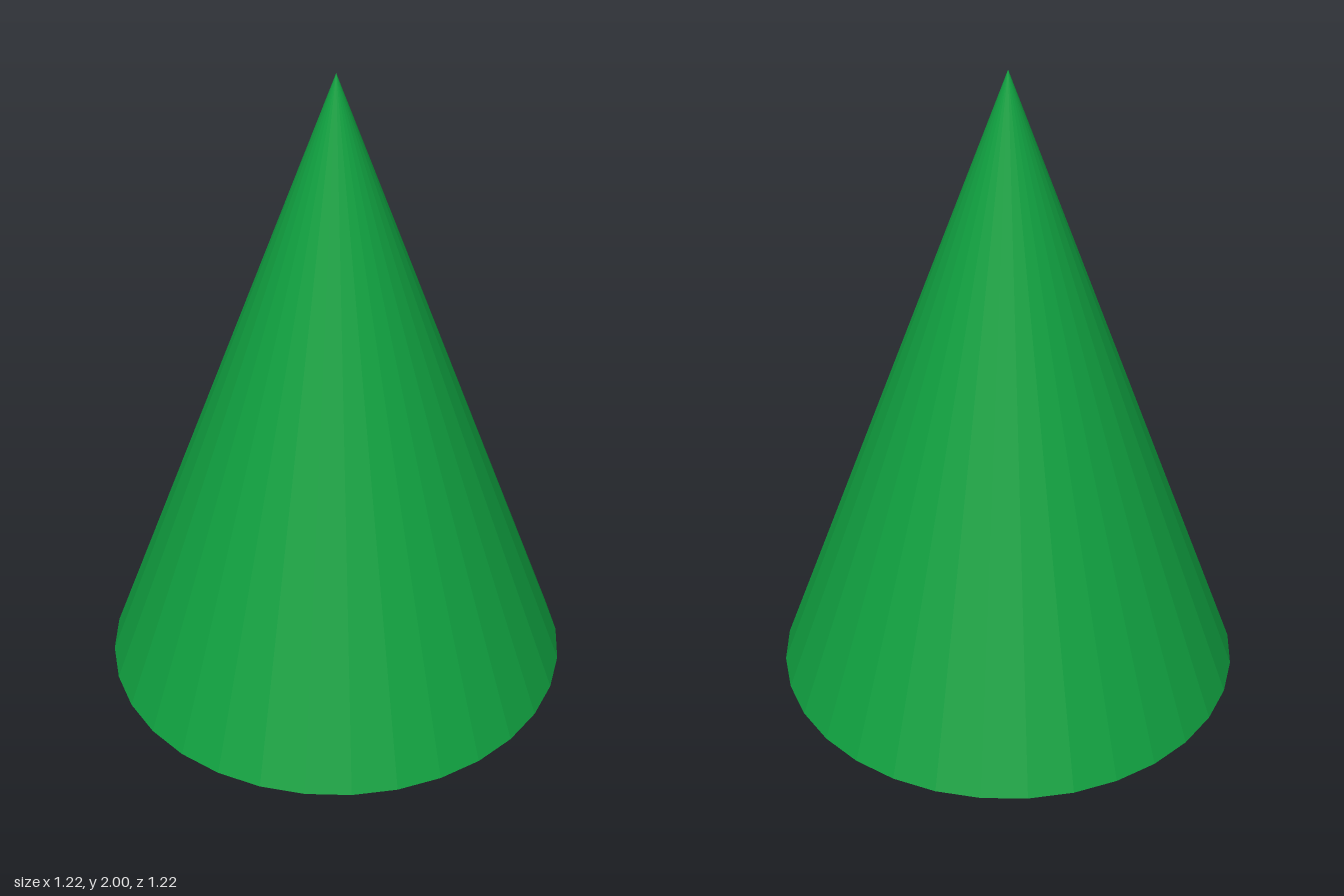
import * as THREE from 'three';

const SIDES = 32;
const TRUNK_HEIGHT = 0.245;
const TOTAL_HEIGHT = 2;

// Adds a faceted round part standing on height y
function addPart(group, name, geometry, color, height, y) {
  const material = new THREE.MeshStandardMaterial({ color, flatShading: true });
  const mesh = new THREE.Mesh(geometry, material);
  mesh.name = name;
  mesh.position.y = y + height / 2;
  group.add(mesh);
}

export function createModel() {
  const tree = new THREE.Group();
  tree.name = 'tree';

  // Trunk
  addPart(tree, 'trunk', new THREE.CylinderGeometry(0.16, 0.16, TRUNK_HEIGHT, SIDES),
    0x8b5a11, TRUNK_HEIGHT, 0);

  // Foliage cone with a closed underside
  const coneHeight = TOTAL_HEIGHT - TRUNK_HEIGHT;
  addPart(tree, 'foliage', new THREE.ConeGeometry(0.612, coneHeight, SIDES),
    0x10a040, coneHeight, TRUNK_HEIGHT);

  return tree;
}
